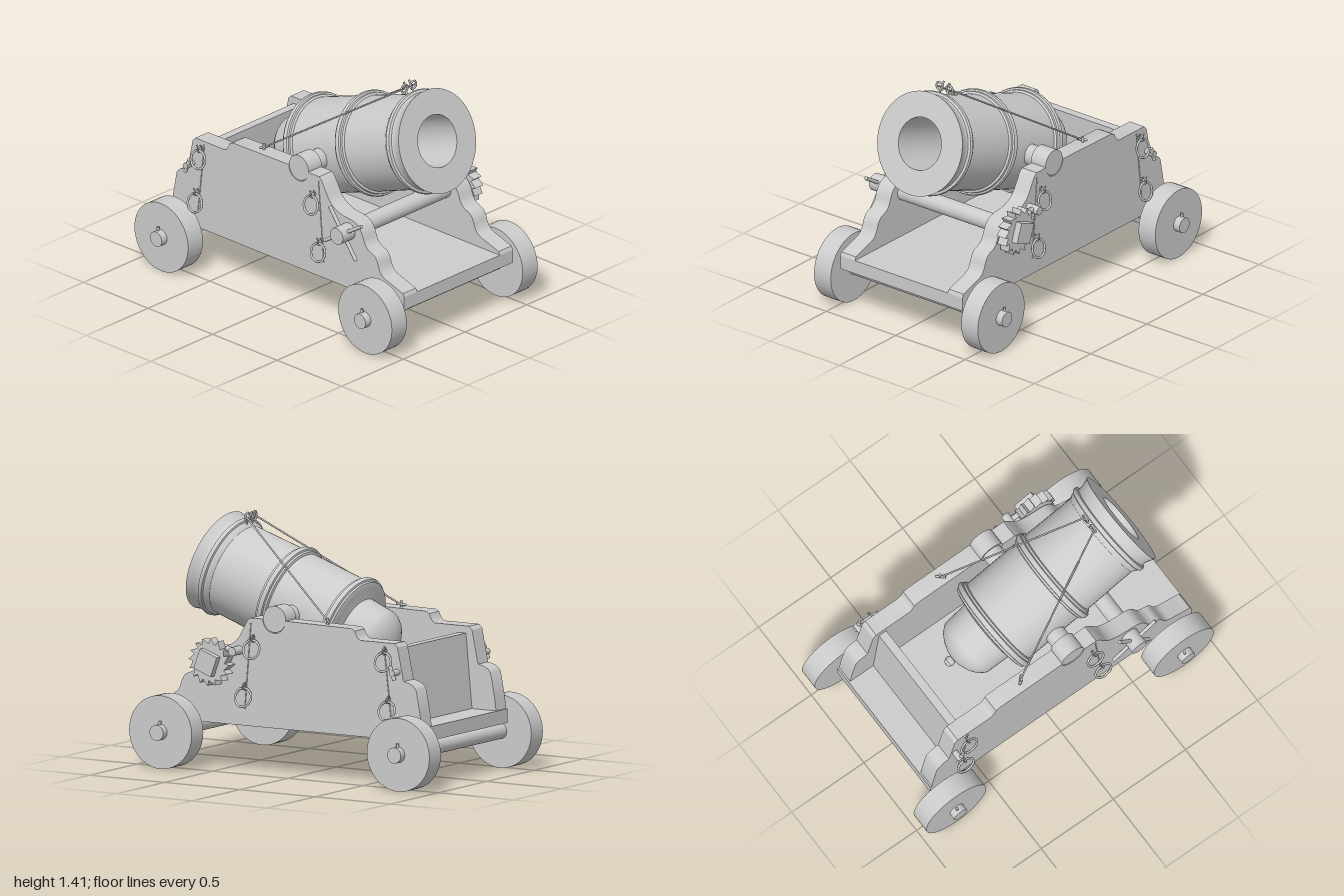
import * as THREE from 'three';
import { toCreasedNormals } from 'three/addons/utils/BufferGeometryUtils.js';

const material = new THREE.MeshStandardMaterial({ color: 0xcccccc });
const V = (x, y, z) => new THREE.Vector3(x, y, z);

export function createModel() {
  const model = new THREE.Group();
  model.name = 'carriageMortar';

  const add = (name, geometry, parent = model) => {
    const mesh = new THREE.Mesh(geometry, material);
    mesh.name = name;
    parent.add(mesh);
    return mesh;
  };
  // Round bar between two points
  const rod = (name, a, b, r, sides = 8, parent = model) => {
    const mesh = add(name, new THREE.CylinderGeometry(r, r, a.distanceTo(b), sides), parent);
    mesh.position.copy(a).add(b).multiplyScalar(0.5);
    mesh.quaternion.setFromUnitVectors(V(0, 1, 0), b.clone().sub(a).normalize());
    return mesh;
  };
  const zRod = (name, x, y, z0, z1, r, sides = 32) => rod(name, V(x, y, z0), V(x, y, z1), r, sides);
  const ring = (name, x, y, z, r, tube, parent = model) => {
    const mesh = add(name, new THREE.TorusGeometry(r, tube, 6, 24), parent);
    mesh.position.set(x, y, z);
    return mesh;
  };
  const box = (name, x0, x1, y0, y1, z0, z1) => {
    const mesh = add(name, new THREE.BoxGeometry(x1 - x0, y1 - y0, z1 - z0));
    mesh.position.set((x0 + x1) / 2, (y0 + y1) / 2, (z0 + z1) / 2);
    return mesh;
  };
  // Side profile extruded along z
  const slab = (name, shape, z0, z1) => {
    const g = new THREE.ExtrudeGeometry(shape, { depth: z1 - z0, bevelEnabled: false, curveSegments: 16 });
    g.translate(0, 0, z0);
    return add(name, toCreasedNormals(g, 0.5));
  };

  // Barrel: turned around its own axis, origin at the trunnions
  const barrel = new THREE.Group();
  barrel.name = 'barrel';
  barrel.position.set(0.13, 0.882, 0);
  barrel.rotation.z = -THREE.MathUtils.degToRad(70.8);
  model.add(barrel);

  const hoop = t => [[0.272, t - 0.035], [0.285, t - 0.03], [0.287, t - 0.018], [0.297, t - 0.014],
    [0.301, t], [0.297, t + 0.014], [0.287, t + 0.018], [0.285, t + 0.03], [0.272, t + 0.035]];
  const profile = [
    [0.001, -0.595], [0.018, -0.59], [0.03, -0.572], [0.028, -0.555], [0.02, -0.543],
    [0.05, -0.538], [0.105, -0.518], [0.15, -0.488], [0.175, -0.455], [0.182, -0.44],
    [0.192, -0.29], [0.215, -0.285], [0.25, -0.278],
    ...hoop(-0.24), ...hoop(0.187),
    [0.268, 0.55], [0.282, 0.57], [0.284, 0.583], [0.294, 0.588], [0.297, 0.6], [0.294, 0.612],
    [0.28, 0.617], [0.277, 0.63], [0.283, 0.655], [0.297, 0.694],
    [0.15, 0.694], [0.15, 0.17], [0.001, 0.17],
  ].map(p => new THREE.Vector2(...p));
  add('barrelBody', toCreasedNormals(new THREE.LatheGeometry(profile, 48), 0.6), barrel);

  // Bed
  box('bed', -0.86, 0.95, 0.265, 0.345, -0.44, 0.44);

  // Rear board between the cheeks, leaning slightly forward
  const board = new THREE.Shape();
  [[-0.69, 0.345], [-0.62, 0.345], [-0.6, 0.77], [-0.65, 0.77]].forEach(([x, y], i) =>
    i ? board.lineTo(x, y) : board.moveTo(x, y));
  slab('rearBoard', board, -0.335, 0.335);

  // Stepped cheek outline with a seat for the trunnion
  const cheek = new THREE.Shape();
  cheek.moveTo(-0.85, 0.345);
  cheek.lineTo(0.95, 0.345);
  cheek.lineTo(0.94, 0.365);
  cheek.lineTo(0.8, 0.41);
  cheek.quadraticCurveTo(0.765, 0.425, 0.75, 0.47);
  cheek.quadraticCurveTo(0.735, 0.525, 0.7, 0.535);
  cheek.quadraticCurveTo(0.65, 0.55, 0.635, 0.6);
  cheek.quadraticCurveTo(0.61, 0.68, 0.55, 0.69);
  cheek.lineTo(0.47, 0.7);
  cheek.quadraticCurveTo(0.385, 0.72, 0.355, 0.78);
  cheek.lineTo(0.31, 0.86);
  cheek.lineTo(0.29, 0.878);
  cheek.lineTo(0.205, 0.878);
  cheek.absarc(0.13, 0.878, 0.075, 0, Math.PI, true);
  cheek.lineTo(-0.38, 0.872);
  cheek.lineTo(-0.405, 0.86);
  cheek.quadraticCurveTo(-0.42, 0.815, -0.445, 0.81);
  cheek.lineTo(-0.67, 0.81);
  cheek.lineTo(-0.69, 0.79);
  cheek.lineTo(-0.73, 0.6);
  cheek.quadraticCurveTo(-0.8, 0.59, -0.815, 0.55);
  cheek.lineTo(-0.84, 0.42);

  for (const s of [1, -1]) {
    const side = s > 0 ? 'left' : 'right';
    slab(side + 'Cheek', cheek, s > 0 ? 0.335 : -0.44, s > 0 ? 0.44 : -0.335);
    zRod(side + 'Trunnion', 0.13, 0.882, s * 0.33, s * 0.437, 0.075);
    zRod(side + 'TrunnionNeck', 0.13, 0.882, s * 0.2, s * 0.33, 0.06);

    // Hanging rings on eyebolts, linked by thin rods
    const spots = [[-0.615, 0.705], [-0.64, 0.43], [0.26, 0.705], [0.315, 0.43]];
    for (const [x, y] of spots) {
      ring(side + 'LashingRing', x, y, s * 0.475, 0.053, 0.007).rotation.x = -s * 0.25;
      ring(side + 'RingEye', x, y + 0.06, s * 0.46, 0.018, 0.005).rotation.y = Math.PI / 2;
      rod(side + 'RingPin', V(x, y + 0.06, s * 0.47), V(x - 0.015, y + 0.085, s * 0.47), 0.004);
    }
    rod(side + 'RearStrap', V(-0.6, 0.79, s * 0.439), V(-0.65, 0.36, s * 0.439), 0.004);
    rod(side + 'FrontStrap', V(0.285, 0.85, s * 0.439), V(0.325, 0.36, s * 0.439), 0.004);

    // Rear cleat
    zRod(side + 'CleatPost', -0.69, 0.65, s * 0.42, s * 0.5, 0.018, 12);
    rod(side + 'CleatBar', V(-0.7, 0.61, s * 0.488), V(-0.67, 0.69, s * 0.488), 0.012);

    // Stay rope from cheek to muzzle eye
    rod(side + 'StayRope', V(-0.18, 0.895, s * 0.375), V(0.565, 1.375, s * 0.045), 0.005);
    rod(side + 'StayPin', V(-0.19, 0.86, s * 0.385), V(-0.19, 0.91, s * 0.385), 0.008);
    const hook = rod(side + 'StayHook', V(-0.21, 0.885, s * 0.4), V(-0.17, 0.895, s * 0.36), 0.007);
    hook.castShadow = true;
    ring(side + 'MuzzleEye', 0.565, 1.375, s * 0.035, 0.024, 0.006).rotation.y = Math.PI / 2;
    rod(side + 'MuzzleEyePin', V(0.545, 1.405, s * 0.02), V(0.585, 1.32, s * 0.03), 0.006);

    // Wheels with lock pins through the axle ends
    for (const x of [-0.79, 0.79]) {
      zRod(side + 'Wheel', x, 0.208, s * 0.47, s * 0.59, 0.208, 48);
      rod(side + 'LockPin', V(x - 0.005, 0.17, s * 0.608), V(x - 0.008, 0.275, s * 0.608), 0.008);
    }
  }
  for (const x of [-0.79, 0.79]) zRod('axle', x, 0.21, -0.633, 0.633, 0.045);

  // Windlass with crossed hand bars
  zRod('windlassShaft', 0.52, 0.617, -0.46, 0.54, 0.05);
  for (const a of [0.55, -0.93]) {
    const d = V(Math.cos(a) * 0.17, Math.sin(a) * 0.17, 0), c = V(0.52, 0.617, 0.487);
    rod('windlassBar', c.clone().sub(d), c.clone().add(d), 0.011);
  }

  // Ratchet wheel with slanted teeth, square-ended hub and pawl
  const ratchet = new THREE.Shape();
  const teeth = 16;
  for (let i = 0; i < teeth; i++) {
    const a = i / teeth * Math.PI * 2;
    const low = [0.52 + Math.cos(a) * 0.105, 0.617 + Math.sin(a) * 0.105];
    if (i) ratchet.lineTo(...low); else ratchet.moveTo(...low);
    ratchet.lineTo(0.52 + Math.cos(a + 0.06) * 0.135, 0.617 + Math.sin(a + 0.06) * 0.135);
  }
  slab('ratchetWheel', ratchet, -0.51, -0.447);
  box('ratchetHub', 0.46, 0.58, 0.557, 0.677, -0.548, -0.5).rotation.z = 0.35;
  zRod('pawlPivot', 0.36, 0.69, -0.52, -0.43, 0.025, 16);
  rod('pawl', V(0.36, 0.69, -0.48), V(0.42, 0.7, -0.48), 0.016);

  return model;
}
